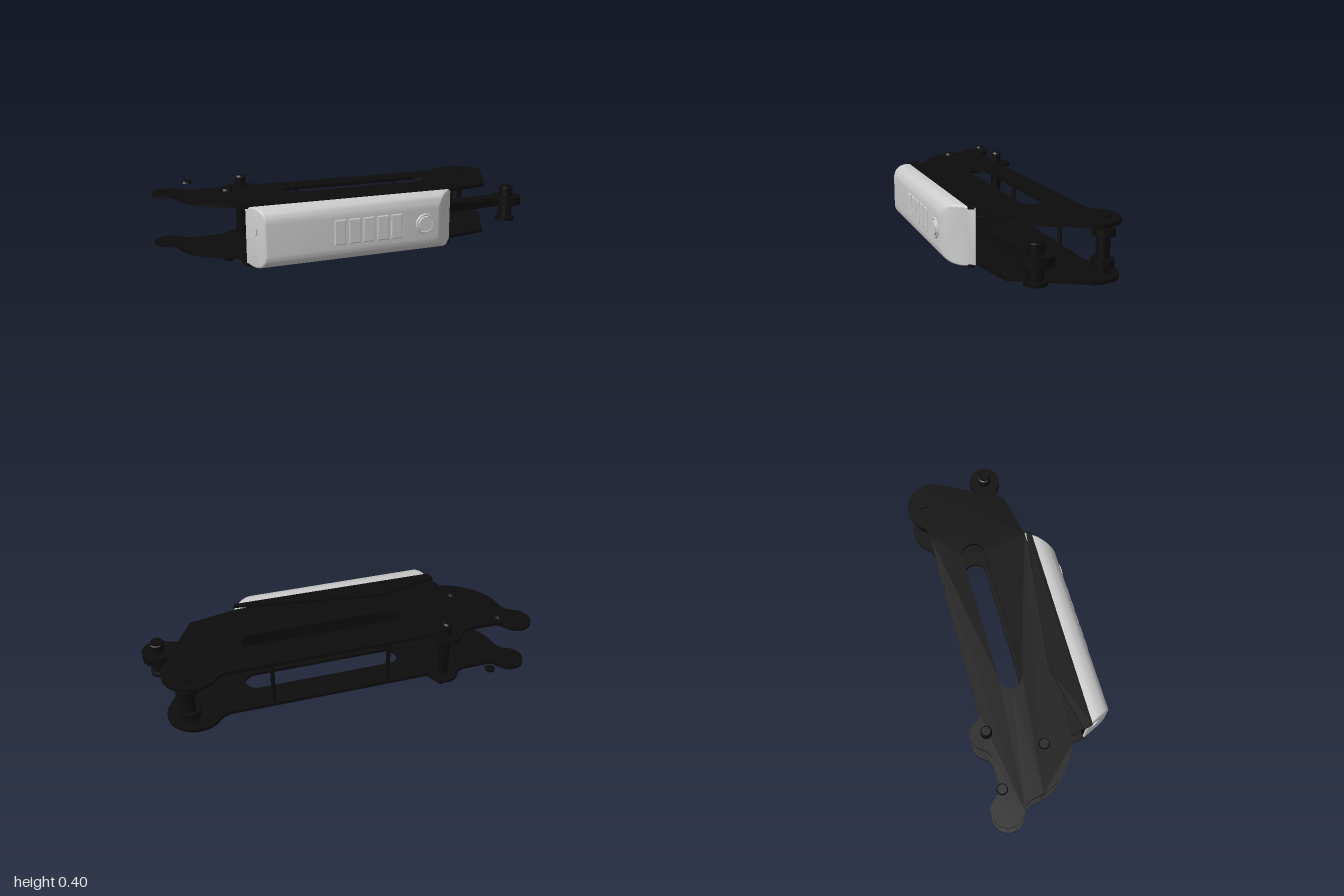
import * as THREE from 'three';
import { toCreasedNormals } from 'three/addons/utils/BufferGeometryUtils.js';

const grey = new THREE.MeshStandardMaterial({ color: 0xcccccc });
const dark = new THREE.MeshStandardMaterial({ color: 0x0c0c0c });
const MID = 0.2025; // height of the mirror plane between the two plates

export function createModel() {
  const root = new THREE.Group();

  const add = (name, geometry, material, x = 0, y = 0, z = 0) => {
    const mesh = new THREE.Mesh(geometry, material);
    mesh.name = name;
    mesh.position.set(x, y, z);
    root.add(mesh);
    return mesh;
  };

  // Flat slab from a plan shape drawn in (x, -z)
  const slab = (name, shape, y0, y1) => {
    const g = new THREE.ExtrudeGeometry(shape, { depth: y1 - y0, bevelEnabled: false, curveSegments: 20 });
    g.rotateX(-Math.PI / 2);
    return add(name, toCreasedNormals(g, 0.5), dark, 0, y0, 0);
  };

  // Upright turned part from [radius, height] pairs
  const turned = (name, x, z, profile) => {
    const pts = profile.map(([r, y]) => new THREE.Vector2(r, y));
    const g = new THREE.LatheGeometry(pts, 28);
    return add(name, toCreasedNormals(g, 0.5), dark, x, 0, z);
  };
  const disc = (name, x, z, r, y0, y1) =>
    turned(name, x, z, [[0, y0], [r, y0], [r, y1], [0, y1]]);

  // Side plates with rounded lugs and a long slot
  const plate = new THREE.Shape();
  plate.moveTo(-0.63, -0.22);
  plate.lineTo(0.48, -0.215);
  plate.lineTo(0.73, -0.165);
  plate.lineTo(0.913, 0.165);
  plate.absarc(0.78, 0.22, 0.145, -0.39, 2.3, false);
  plate.quadraticCurveTo(0.655, 0.287, 0.61, 0.285);
  plate.lineTo(-0.44, 0.285);
  plate.absarc(-0.53, 0.285, 0.08, 0.2, 2.7, false);
  plate.quadraticCurveTo(-0.63, 0.285, -0.66, 0.285);
  plate.lineTo(-0.8, 0.285);
  plate.quadraticCurveTo(-0.83, 0.29, -0.84, 0.32);
  plate.absarc(-0.917, 0.28, 0.083, 0.5, 4.2, false);
  plate.quadraticCurveTo(-0.9, 0.19, -0.897, 0.13);
  plate.bezierCurveTo(-0.88, 0, -0.79, -0.09, -0.66, -0.125);
  plate.closePath();
  const slot = new THREE.Path();
  slot.moveTo(-0.28, 0.145);
  slot.absarc(-0.28, 0.085, 0.06, Math.PI / 2, Math.PI * 1.5, false);
  slot.absarc(0.44, 0.085, 0.06, -Math.PI / 2, Math.PI / 2, false);
  slot.closePath();
  plate.holes.push(slot);

  // Angular cheek that joins each plate to the housing
  const cheek = new THREE.Shape([
    [-0.635, -0.24], [0.48, -0.25], [0.49, -0.225], [-0.3, -0.117], [-0.645, -0.19],
  ].map(([x, y]) => new THREE.Vector2(x, y)));

  for (const side of [-1, 1]) {
    const between = (a, b) => [MID + side * a, MID + side * b].sort((p, q) => p - q);
    const tag = side > 0 ? 'upper' : 'lower';
    slab(tag + 'Plate', plate, ...between(0.122, 0.139));
    slab(tag + 'Cheek', cheek, ...between(0.137, 0.151));
    // Screw heads standing off the plate
    for (const [x, z] of [[-0.82, -0.28], [-0.665, -0.023]]) {
      const [y0, y1] = between(0.177, 0.189);
      const [r0, r1] = side > 0 ? [0.028, 0.023] : [0.023, 0.028];
      turned(tag + 'ScrewHead', x, z, [[0, y0], [r0, y0], [r1, y1], [0, y1]]);
    }
    // Collars on the end pivot
    disc(tag + 'PivotCollar', 0.815, -0.277, 0.055, ...between(0.055, 0.09));
    disc(tag + 'PivotWasher', 0.815, -0.277, 0.042, ...between(0.112, 0.123));
  }

  // Pivot pins and thin spacer posts
  turned('longPin', -0.53, -0.28, [
    [0, 0], [0.022, 0], [0.028, 0.012], [0.028, 0.393], [0.022, 0.403], [0, 0.403],
  ]);
  disc('endPivotPin', 0.815, -0.277, 0.033, 0.053, 0.352);
  for (const x of [-0.22, 0.39]) disc('spacerPost', x, -0.27, 0.011, 0.07, 0.335);

  // Middle arm with a round eye
  const arm = new THREE.Shape();
  arm.moveTo(0.3, -0.19);
  arm.lineTo(0.72, -0.165);
  arm.quadraticCurveTo(0.82, -0.135, 0.86, -0.165);
  arm.absarc(0.917, -0.103, 0.083, -2.3, 2.3, false);
  arm.quadraticCurveTo(0.82, -0.07, 0.74, -0.06);
  arm.lineTo(0.3, -0.09);
  arm.closePath();
  slab('middleArm', arm, 0.2, 0.246);
  turned('armSpindle', 0.917, 0.103, [
    [0, 0.105], [0.053, 0.105], [0.053, 0.124], [0.037, 0.127], [0.037, 0.292],
    [0.031, 0.296], [0.031, 0.306], [0, 0.306],
  ]);

  // Rounded housing: profile in (z, y) swept along x, with slanted ends
  const profile = new THREE.Shape();
  profile.moveTo(0.225, MID - 0.134);
  profile.lineTo(0.27, MID - 0.141);
  profile.bezierCurveTo(0.32, MID - 0.141, 0.342, MID - 0.115, 0.342, MID - 0.075);
  profile.lineTo(0.342, MID + 0.075);
  profile.bezierCurveTo(0.342, MID + 0.115, 0.32, MID + 0.141, 0.27, MID + 0.141);
  profile.lineTo(0.225, MID + 0.134);
  profile.closePath();
  const body = new THREE.ExtrudeGeometry(profile, {
    depth: 1, bevelThickness: 0.01, bevelSize: 0.009, bevelSegments: 3, curveSegments: 14,
  });
  body.rotateY(-Math.PI / 2);
  const p = body.attributes.position;
  for (let i = 0; i < p.count; i++) {
    const k = (p.getZ(i) - 0.216) / 0.135;
    const left = -0.625 + 0.06 * k;
    const right = 0.48 - 0.09 * k - 0.045 * k * k;
    p.setX(i, left + (right - left) * (p.getX(i) + 1));
  }
  add('housing', toCreasedNormals(body, 0.6), grey);

  // Dark back edge of the housing
  add('housingBack', new THREE.BoxGeometry(1.1, 0.27, 0.012), dark, -0.073, MID, 0.219);

  // Row of push buttons
  const key = new THREE.Shape([
    [-0.025, -0.058], [0.025, -0.058], [0.025, 0.058], [-0.025, 0.058],
  ].map(([x, y]) => new THREE.Vector2(x, y)));
  for (let i = 0; i < 5; i++) {
    add('pushButton', new THREE.ExtrudeGeometry(key, {
      depth: 0.006, bevelThickness: 0.004, bevelSize: 0.005, bevelSegments: 2,
    }), grey, -0.195 + i * 0.076, 0.207, 0.347);
  }

  // Round button with a raised rim
  const knob = add('roundButton', toCreasedNormals(new THREE.CylinderGeometry(0.038, 0.042, 0.024, 32), 0.5),
    grey, 0.27, 0.205, 0.353);
  knob.rotation.x = Math.PI / 2;
  add('roundButtonRim', new THREE.TorusGeometry(0.046, 0.007, 8, 36), grey, 0.27, 0.205, 0.352);

  // Small round socket on the slanted end
  const socket = add('endSocket', new THREE.CylinderGeometry(0.027, 0.027, 0.012, 24), grey, -0.608, 0.24, 0.275);
  socket.rotation.z = Math.PI / 2;
  socket.rotation.y = 0.42;

  return root;
}
